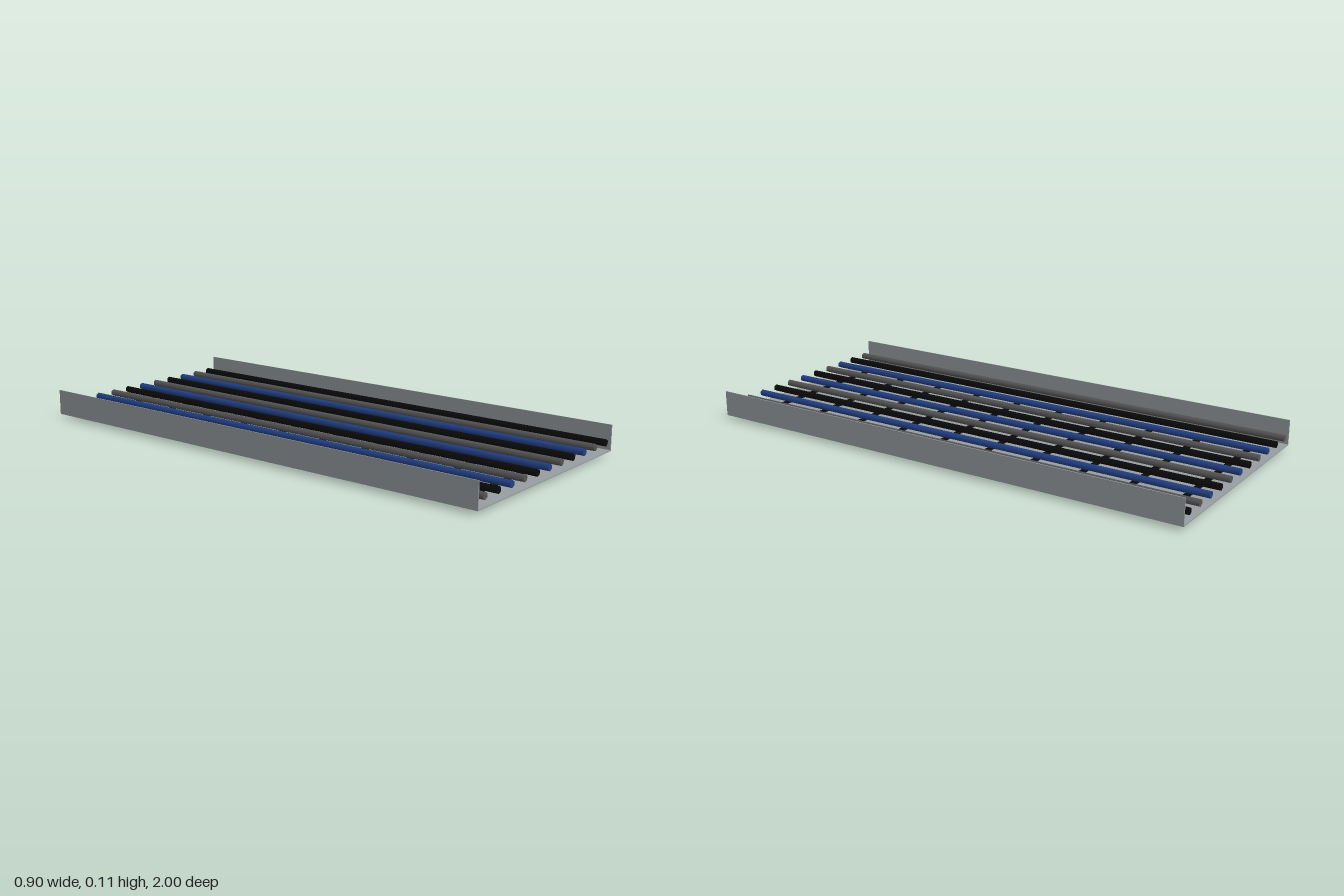
import * as THREE from 'three';

const material = (name, color) => {
  const m = new THREE.MeshStandardMaterial({ color });
  m.name = name;
  return m;
};

export function createModel() {
  const steel = material('galvanised steel', 0x989da1);
  const black = material('black', 0x0a0a0a);
  const grey = material('grey', 0x555555);
  const blue = material('blue', 0x224085);

  const model = new THREE.Group();
  model.name = 'cableTray';
  const add = (name, geometry, mat, x, y, z) => {
    const mesh = new THREE.Mesh(geometry, mat);
    mesh.name = name;
    mesh.position.set(x, y, z);
    model.add(mesh);
  };

  // Thin tray: floor and two upright sides
  const bottom = 0.0145, top = 0.114, sheet = 0.004;
  add('trayFloor', new THREE.BoxGeometry(0.9, sheet, 2), steel, 0, bottom + sheet / 2, 0);
  const side = new THREE.BoxGeometry(sheet, top - bottom, 2);
  for (const s of [-1, 1]) {
    add(s > 0 ? 'leftSide' : 'rightSide', side, steel, s * (0.45 - sheet / 2), (top + bottom) / 2, 0);
  }

  // Rungs set through the floor
  const rung = new THREE.CylinderGeometry(0.014, 0.014, 0.63, 8).rotateZ(Math.PI / 2);
  for (let i = 0; i < 10; i++) add('rung', rung, black, 0, 0.014, -0.9 + i * 0.2);

  // Six-sided cables running the full length, in repeating colours
  const cable = new THREE.CylinderGeometry(0.0135, 0.0135, 2, 6).rotateX(Math.PI / 2);
  const colours = [grey, black, blue];
  for (let i = 0; i < 11; i++) add('cable', cable, colours[i % 3], (i - 5) * 0.0818, 0.054, 0);

  return model;
}
